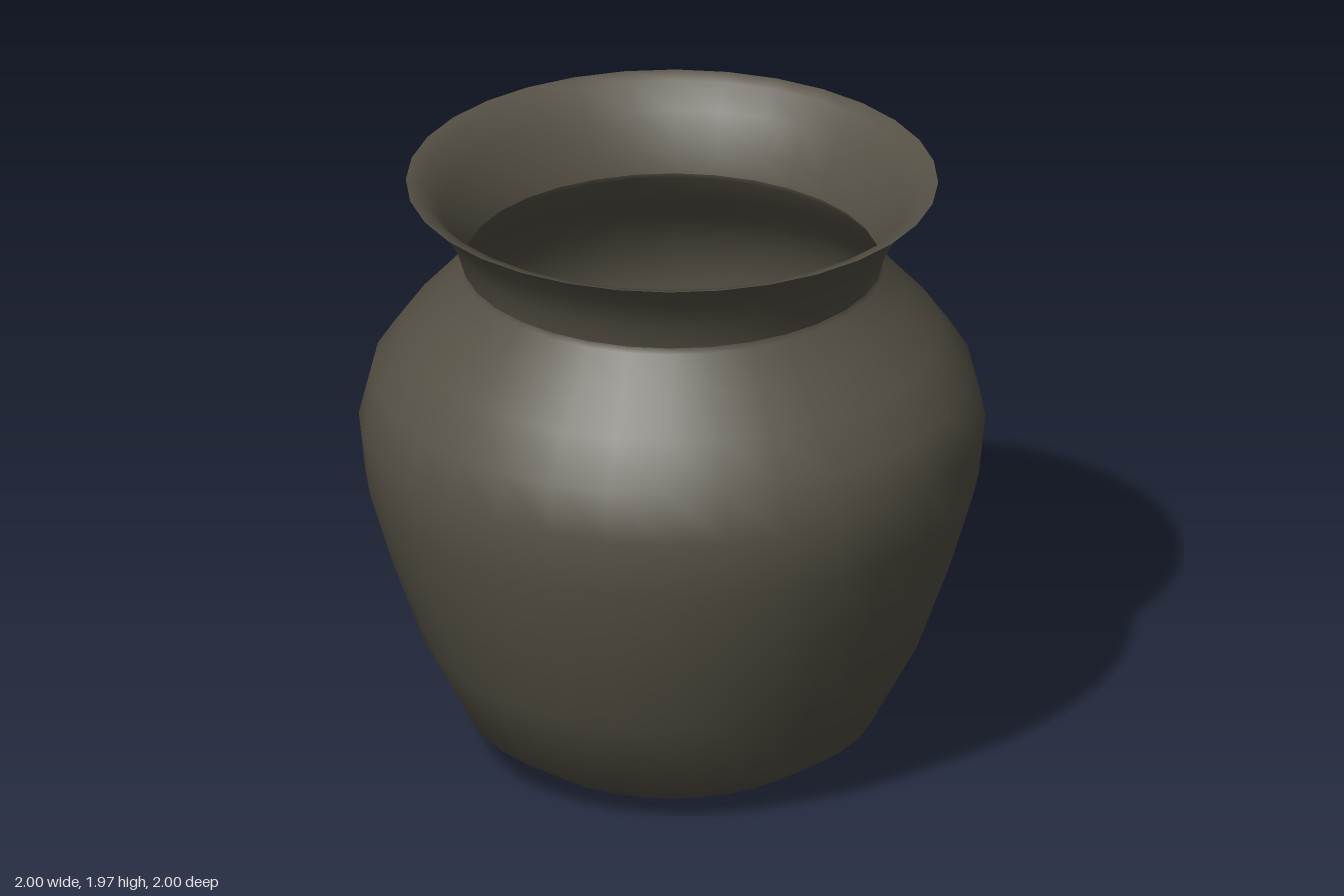
import * as THREE from 'three';

const SEGMENTS = 32;

// Revolve a list of [radius, height] pairs around the vertical axis
function turned(name, profile, material) {
  const points = profile.map(([r, y]) => new THREE.Vector2(r, y));
  const mesh = new THREE.Mesh(new THREE.LatheGeometry(points, SEGMENTS), material);
  mesh.name = name;
  return mesh;
}

export function createModel() {
  const clay = new THREE.MeshStandardMaterial({ color: 0x575246, side: THREE.DoubleSide });
  clay.name = 'dark clay';

  const pot = new THREE.Group();
  pot.name = 'pot';

  // Thin-walled belly, from the foot up to the neck seam
  pot.add(turned('body', [
    [0, 0], [0.34, 0.005], [0.48, 0.02], [0.65, 0.13], [0.8, 0.41],
    [0.905, 0.7], [0.98, 0.95], [1, 1.15], [0.96, 1.31],
    [0.86, 1.45], [0.75, 1.57], [0.675, 1.67], [0.67, 1.69],
  ], clay));

  // Flared collar outside, up to the sharp rim
  pot.add(turned('collarOutside', [
    [0.67, 1.69], [0.695, 1.77], [0.755, 1.88], [0.85, 1.97],
  ], clay));

  // Rounded lip and collar inside, back down to the seam
  pot.add(turned('collarInside', [
    [0.85, 1.97], [0.8, 1.955], [0.74, 1.88], [0.685, 1.77], [0.665, 1.69],
  ], clay));

  return pot;
}
